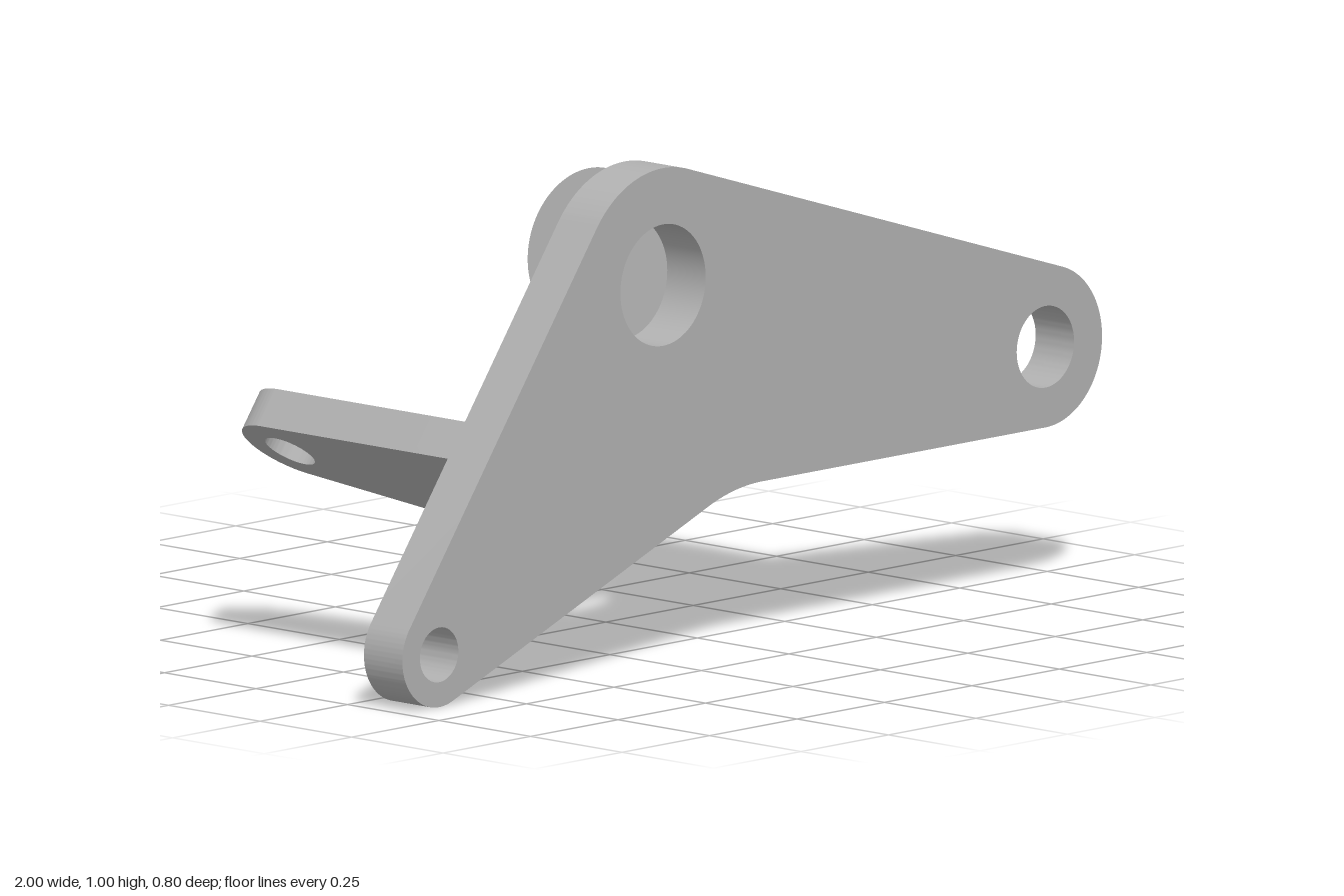
import * as THREE from 'three';
import { toCreasedNormals } from 'three/addons/utils/BufferGeometryUtils.js';

const BACK = 0.295, FRONT = 0.4, LUG_THICKNESS = 0.084;

// Outward normal angle of the common tangent running counter-clockwise from circle a to b
function tangent(a, b) {
  const dx = b.x - a.x, dy = b.y - a.y;
  return Math.atan2(dy, dx) - Math.acos((a.r - b.r) / Math.hypot(dx, dy));
}

function addHole(shape, x, y, r) {
  const hole = new THREE.Path();
  hole.absarc(x, y, r, 0, Math.PI * 2, true);
  shape.holes.push(hole);
}

function extrude(shape, depth) {
  const geometry = new THREE.ExtrudeGeometry(shape, { depth, bevelEnabled: false, curveSegments: 40 });
  return toCreasedNormals(geometry, 0.35);
}

// Three-cornered mounting plate with a filleted inner corner
function plateGeometry() {
  const low = { x: -0.895, y: 0.108, r: 0.105, hole: 0.055 };
  const high = { x: -0.255, y: 0.765, r: 0.235, hole: 0.122 };
  const side = { x: 0.838, y: 0.495, r: 0.162, hole: 0.082 };
  const slope = Math.atan(0.4), fillet = 0.415;
  const up = Math.PI / 2;
  const s = new THREE.Shape();
  s.absarc(low.x, low.y, low.r, tangent(high, low), slope - up + Math.PI * 2 * (tangent(high, low) > 0 ? 1 : 0), false);
  s.absarc(0.03, 0.333 - fillet, fillet, up + slope, up, true);
  s.absarc(side.x, side.y, side.r, -up, tangent(side, high), false);
  s.absarc(high.x, high.y, high.r, tangent(side, high), tangent(high, low), false);
  for (const c of [low, high, side]) addHole(s, c.x, c.y, c.hole);
  return extrude(s, FRONT - BACK);
}

// Tapered lug: x is the reach behind the plate, y the width across it
function lugGeometry({ reach, width, radius, hole }) {
  const s = new THREE.Shape();
  const eye = { x: reach, y: radius, r: radius };
  s.moveTo(0, 0);
  s.lineTo(reach, 0);
  s.absarc(reach, radius, radius, -Math.PI / 2, tangent(eye, { x: 0, y: width, r: 0 }), false);
  s.lineTo(0, width);
  s.closePath();
  addHole(s, reach, radius, hole);
  return extrude(s, LUG_THICKNESS);
}

export function createModel() {
  const model = new THREE.Group();
  model.name = 'bracket';
  const grey = new THREE.MeshStandardMaterial({ color: 0xb0b0b0 });
  grey.name = 'grey metal';

  const plate = new THREE.Mesh(plateGeometry(), grey);
  plate.name = 'mountingPlate';
  plate.position.z = BACK;
  model.add(plate);

  // Lugs stand square to the plate's sloping edges and sit flush with them
  const lugs = [
    { name: 'leftLug', x: 0.33, y: 0.826, across: [-0.3, -0.954], reach: 0.535, width: 0.434, radius: 0.16, hole: 0.081 },
    { name: 'rightLug', x: -0.71, y: 0.538, across: [0.807, -0.591], reach: 0.512, width: 0.36, radius: 0.104, hole: 0.054 },
  ];
  for (const l of lugs) {
    const lug = new THREE.Mesh(lugGeometry(l), grey);
    lug.name = l.name;
    const u = new THREE.Vector3(0, 0, -1);
    const v = new THREE.Vector3(l.across[0], l.across[1], 0).normalize();
    const t = new THREE.Vector3().crossVectors(u, v);
    lug.quaternion.setFromRotationMatrix(new THREE.Matrix4().makeBasis(u, v, t));
    lug.position.set(l.x, l.y, BACK);
    model.add(lug);
  }
  return model;
}
